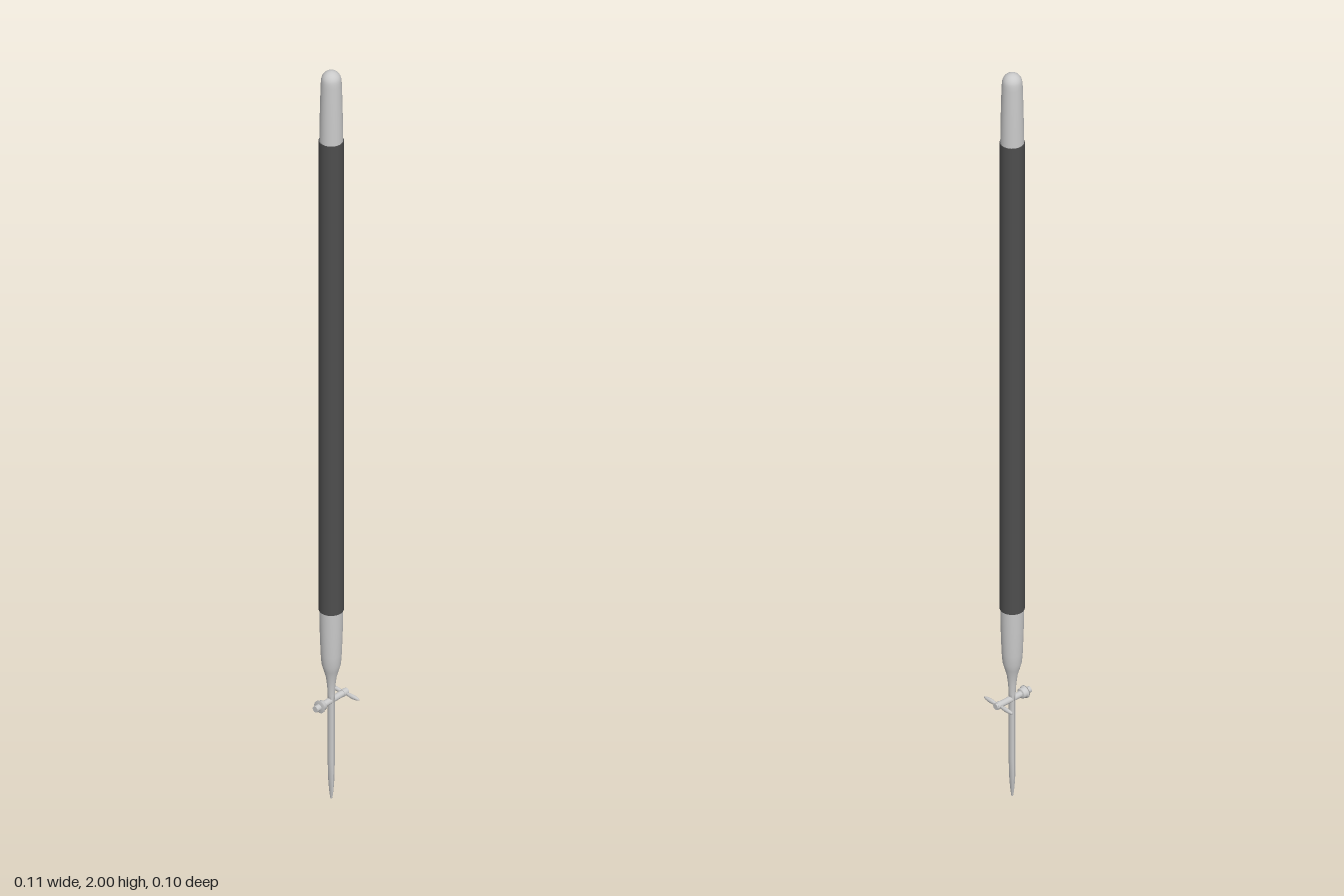
import * as THREE from 'three';

const SCREW_Y = 0.27;

export function createModel() {
  const model = new THREE.Group();
  model.name = 'rulingPen';
  const steel = new THREE.MeshStandardMaterial({ color: 0xcacaca });
  steel.name = 'steel';
  const black = new THREE.MeshStandardMaterial({ color: 0x4e4e4e });
  black.name = 'handleBlack';

  const add = (name, geometry, material, x = 0, y = 0) => {
    const mesh = new THREE.Mesh(geometry, material);
    mesh.name = name;
    mesh.position.set(x, y, 0);
    model.add(mesh);
    return mesh;
  };
  // Lathe from [radius, height] pairs, listed from bottom to top
  const turned = (points, segments = 32) =>
    new THREE.LatheGeometry(points.map(([r, y]) => new THREE.Vector2(r, y)), segments);

  // Dark grip
  add('handle', new THREE.CylinderGeometry(0.029, 0.029, 1.29, 40), black, 0, 1.165);

  // Rounded end cap
  const cap = [[0.0275, 1.808], [0.0265, 1.88], [0.0245, 1.965]];
  for (let i = 0; i <= 8; i++) {
    const a = (i / 8) * Math.PI / 2;
    cap.push([Math.max(0, 0.0235 * Math.cos(a)), 1.975 + 0.025 * Math.sin(a)]);
  }
  add('endCap', turned(cap), steel);

  // Ferrule tapering to the neck
  add('ferrule', turned([
    [0, 0.268], [0.008, 0.268], [0.008, 0.285], [0.0095, 0.31], [0.0125, 0.335],
    [0.018, 0.355], [0.0225, 0.372], [0.0245, 0.4], [0.0265, 0.46], [0.0275, 0.523],
  ]), steel);

  // Pair of blades: rounded outside, flat inside, closing towards the tip
  for (const side of [-1, 1]) {
    const blade = new THREE.CylinderGeometry(1, 1, 1, 16, 24, false);
    const p = blade.attributes.position;
    for (let i = 0; i < p.count; i++) {
      const y = (p.getY(i) + 0.5) * 0.29;
      const tip = Math.sqrt(Math.min(1, y / 0.07));
      const gap = 0.0018 * Math.min(1, y / 0.05);
      const thick = 0.0015 + 0.0042 * Math.min(1, y / 0.1);
      const halfWidth = 0.0025 + 0.0055 * tip;
      const outward = Math.max(0, p.getX(i) * side);
      p.setXYZ(i, side * (gap + thick * outward), y, halfWidth * p.getZ(i));
    }
    blade.computeVertexNormals();
    add(side > 0 ? 'leftBlade' : 'rightBlade', blade, steel);
  }

  // Adjusting screw through both blades
  const alongX = (name, geometry, x) => {
    const mesh = add(name, geometry, steel, x, SCREW_Y);
    mesh.rotation.z = -Math.PI / 2;
    return mesh;
  };
  alongX('screwShaft', new THREE.CylinderGeometry(0.0078, 0.0078, 0.107, 20), -0.001);
  alongX('screwCollar', turned([
    [0, -0.041], [0.0155, -0.041], [0.0155, -0.038], [0.0125, -0.036],
    [0.0125, -0.028], [0.009, -0.026], [0, -0.026],
  ], 24), 0);

  // Wing nut
  alongX('wingNutHub', new THREE.CylinderGeometry(0.0088, 0.0088, 0.012, 20), 0.043);
  for (const side of [-1, 1]) {
    const wing = add('wingNutWing', new THREE.SphereGeometry(1, 16, 12), steel, 0.043, SCREW_Y);
    wing.scale.set(0.0048, 0.0055, 0.022);
    wing.position.z = side * 0.026;
  }

  return model;
}
